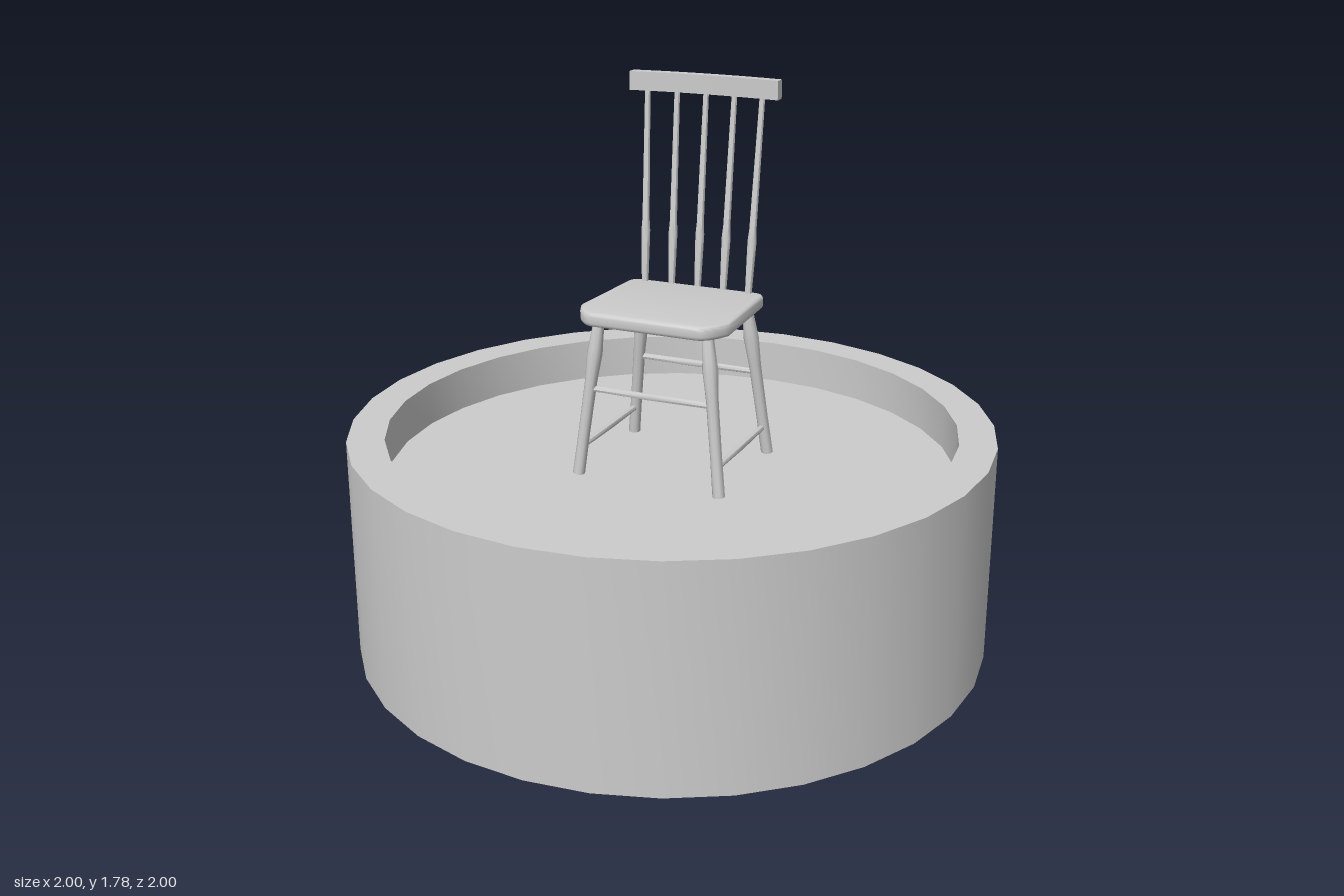
import * as THREE from 'three';
import { toCreasedNormals } from 'three/addons/utils/BufferGeometryUtils.js';

const material = new THREE.MeshStandardMaterial({ color: 0xcccccc });
const V = (x, y, z) => new THREE.Vector3(x, y, z);

function add(parent, name, geometry) {
  const mesh = new THREE.Mesh(geometry, material);
  mesh.name = name;
  parent.add(mesh);
  return mesh;
}

// Turned rod from a to b; profile holds [fraction along, radius] pairs.
function rod(parent, name, a, b, profile, sides = 10) {
  const dir = b.clone().sub(a);
  const len = dir.length();
  const pts = profile.map(([t, r]) => new THREE.Vector2(r, t * len));
  pts.unshift(new THREE.Vector2(0, 0));
  pts.push(new THREE.Vector2(0, len));
  const mesh = add(parent, name, toCreasedNormals(new THREE.LatheGeometry(pts, sides), 0.8));
  mesh.position.copy(a);
  mesh.quaternion.setFromUnitVectors(V(0, 1, 0), dir.normalize());
}

// Extrude a plan outline upwards; the shape's y is -z.
function slab(shape, y0, y1, bevel) {
  const geo = new THREE.ExtrudeGeometry(shape, {
    depth: y1 - y0 - 2 * bevel, bevelEnabled: bevel > 0, bevelSize: bevel,
    bevelThickness: bevel, bevelOffset: -bevel, bevelSegments: 3, curveSegments: 8,
  });
  geo.rotateX(-Math.PI / 2).translate(0, y0 + bevel, 0);
  return toCreasedNormals(geo, 0.6);
}

export function createModel() {
  const model = new THREE.Group();
  model.name = 'chairOnPlinth';

  // Round plinth: sunken top, hollow underside, conical hub and ring foot
  const plinth = [
    [0, 0.115], [0.38, 0.115], [0.38, 0], [0.452, 0], [0.452, 0.07], [0.525, 0.07],
    [0.63, 0.27], [0.82, 0.27], [0.82, 0.04], [1, 0.04], [1, 0.74],
    [0.885, 0.74], [0.885, 0.6], [0, 0.6],
  ].map(([r, y]) => new THREE.Vector2(r, y));
  add(model, 'plinth', toCreasedNormals(new THREE.LatheGeometry(plinth, 32), 0.5));

  const chair = new THREE.Group();
  chair.name = 'chair';
  model.add(chair);

  // Seat: tapers to the back, rounded corners
  const seat = new THREE.Shape();
  seat.moveTo(0.17, -0.215);
  seat.quadraticCurveTo(0.215, -0.21, 0.245, -0.13);
  seat.lineTo(0.23, 0.17);
  seat.quadraticCurveTo(0.225, 0.2, 0.195, 0.203);
  seat.lineTo(-0.195, 0.203);
  seat.quadraticCurveTo(-0.225, 0.2, -0.23, 0.17);
  seat.lineTo(-0.245, -0.13);
  seat.quadraticCurveTo(-0.215, -0.21, -0.17, -0.215);
  seat.closePath();
  add(chair, 'seat', slab(seat, 1.09, 1.133, 0.012));

  // Splayed legs
  const legAt = (side, front, y) => {
    const t = (y - 0.6) / 0.5;
    return V(side * (0.235 - 0.058 * t), y, front ? 0.183 - 0.043 * t : -0.22 + 0.05 * t);
  };
  const legProfile = [[0, 0.019], [0.25, 0.018], [0.6, 0.019], [0.78, 0.024], [0.82, 0.022], [1, 0.016]];
  for (const side of [-1, 1]) {
    for (const front of [true, false]) {
      rod(chair, front ? 'frontLeg' : 'backLeg', legAt(side, front, 0.6), legAt(side, front, 1.1), legProfile);
    }
  }

  // Stretchers: high at front and back, low at the sides
  const barProfile = [[0, 0.009], [0.5, 0.011], [1, 0.009]];
  for (const front of [true, false]) {
    rod(chair, front ? 'frontStretcher' : 'backStretcher',
      legAt(-1, front, 0.876), legAt(1, front, 0.876), barProfile, 8);
  }
  for (const side of [-1, 1]) {
    rod(chair, 'sideStretcher', legAt(side, false, 0.69), legAt(side, true, 0.69), barProfile, 8);
  }

  // Back spindles, fanning out and leaning back
  const spindleProfile = [[0, 0.011], [0.2, 0.014], [0.28, 0.015], [0.34, 0.012], [1, 0.009]];
  for (let i = -2; i <= 2; i++) {
    const bow = (i * i) / 4;
    rod(chair, 'backSpindle', V(i * 0.088, 1.12, -0.195 + 0.012 * bow),
      V(i * 0.095, 1.74, -0.256 + 0.015 * bow), spindleProfile, 8);
  }

  // Bowed top rail
  const rail = new THREE.Shape();
  rail.moveTo(-0.245, 0.224);
  rail.quadraticCurveTo(0, 0.256, 0.245, 0.224);
  rail.lineTo(0.245, 0.258);
  rail.quadraticCurveTo(0, 0.29, -0.245, 0.258);
  rail.closePath();
  add(chair, 'topRail', slab(rail, 1.727, 1.785, 0));

  return model;
}
